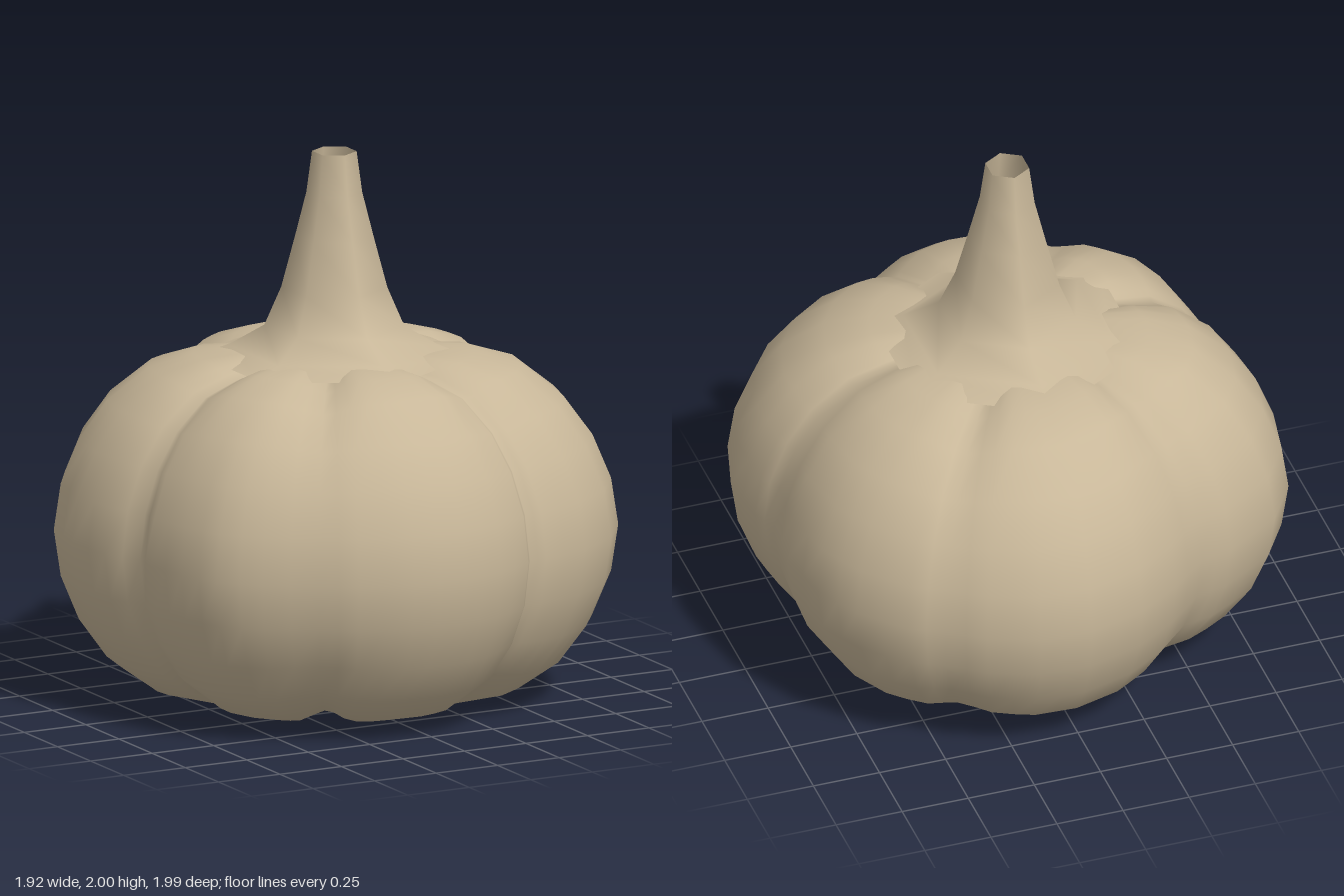
import * as THREE from 'three';

// Widest outline of the bulb, as x, z pairs running from the front towards +x
const outline = [
  [0.01, 0.99], [0.18, 0.95], [0.33, 0.87], [0.355, 0.835], [0.42, 0.84], [0.61, 0.78], [0.78, 0.66],
  [0.9, 0.49], [0.96, 0.28], [0.94, 0.07], [0.905, -0.03], [0.92, -0.23], [0.88, -0.45], [0.79, -0.62],
  [0.65, -0.77], [0.53, -0.83], [0.4, -0.92], [0.22, -0.99], [0.03, -1], [-0.18, -0.94], [-0.34, -0.84],
  [-0.48, -0.72], [-0.6, -0.69], [-0.81, -0.56], [-0.92, -0.39], [-0.96, -0.18], [-0.94, 0.03],
  [-0.87, 0.17], [-0.88, 0.26], [-0.85, 0.44], [-0.79, 0.6], [-0.67, 0.72], [-0.5, 0.83],
  [-0.38, 0.91], [-0.19, 0.98],
];

// Places where neighbouring cloves meet
const seams = [[0.355, 0.835], [0.905, -0.03], [0.53, -0.83], [-0.48, -0.72], [-0.87, 0.17], [-0.5, 0.83]];

// Clove profile from bottom to top: share of the outline radius, height
const profile = [
  [0, 0.045], [0.22, 0.03], [0.45, 0.004], [0.67, 0.06], [0.81, 0.16], [0.91, 0.3], [0.975, 0.46], [1, 0.63],
  [0.975, 0.8], [0.91, 0.96], [0.81, 1.1], [0.66, 1.22], [0.5, 1.268], [0.36, 1.28], [0.22, 1.27],
];

function seamWeight(x, z) {
  const a = Math.atan2(x, z);
  let w = 0;
  for (const [sx, sz] of seams) {
    let d = Math.abs(a - Math.atan2(sx, sz));
    d = Math.min(d, Math.PI * 2 - d);
    w = Math.max(w, Math.exp(-d * d / 0.02));
  }
  return w;
}

function bulbGeometry() {
  // Two steps per outline edge keep the creases narrow
  const ring = [];
  outline.forEach(([x, z], i) => {
    const [nx, nz] = outline[(i + 1) % outline.length];
    ring.push([x, z], [(x + nx) / 2, (z + nz) / 2]);
  });
  const n = ring.length, pos = [], index = [];
  profile.forEach(([f, y], row) => {
    for (const [x, z] of ring) {
      // Creases sink in above and below the widest level
      const dent = seamWeight(x, z) * Math.sin(Math.PI * f) ;
      const lift = y > 0.63 ? -0.045 * dent : 0.045 * dent;
      pos.push(x * f, y + lift, z * f);
    }
    if (row === 0) return;
    for (let j = 0; j < n; j++) {
      const k = (j + 1) % n, a = (row - 1) * n, b = row * n;
      if (row > 1) index.push(a + j, a + k, b + k);
      index.push(a + j, b + k, b + j);
    }
  });
  const g = new THREE.BufferGeometry();
  g.setAttribute('position', new THREE.Float32BufferAttribute(pos, 3));
  g.setIndex(index);
  g.computeVertexNormals();
  return g;
}

export function createModel() {
  const group = new THREE.Group();
  const skin = new THREE.MeshStandardMaterial({ color: 0xc8b799, side: THREE.DoubleSide });
  skin.name = 'papery skin';

  const bulb = new THREE.Mesh(bulbGeometry(), skin);
  bulb.name = 'bulb';

  // Six-sided hollow stalk flaring into the bulb
  const points = [[0.5, 1.25], [0.38, 1.285], [0.25, 1.36], [0.19, 1.5], [0.14, 1.69], [0.1, 1.85], [0.08, 2]]
    .map(([r, y]) => new THREE.Vector2(r, y));
  const stem = new THREE.Mesh(new THREE.LatheGeometry(points, 6), skin);
  stem.name = 'stem';
  stem.position.x = 0.01;

  group.add(bulb, stem);
  return group;
}
